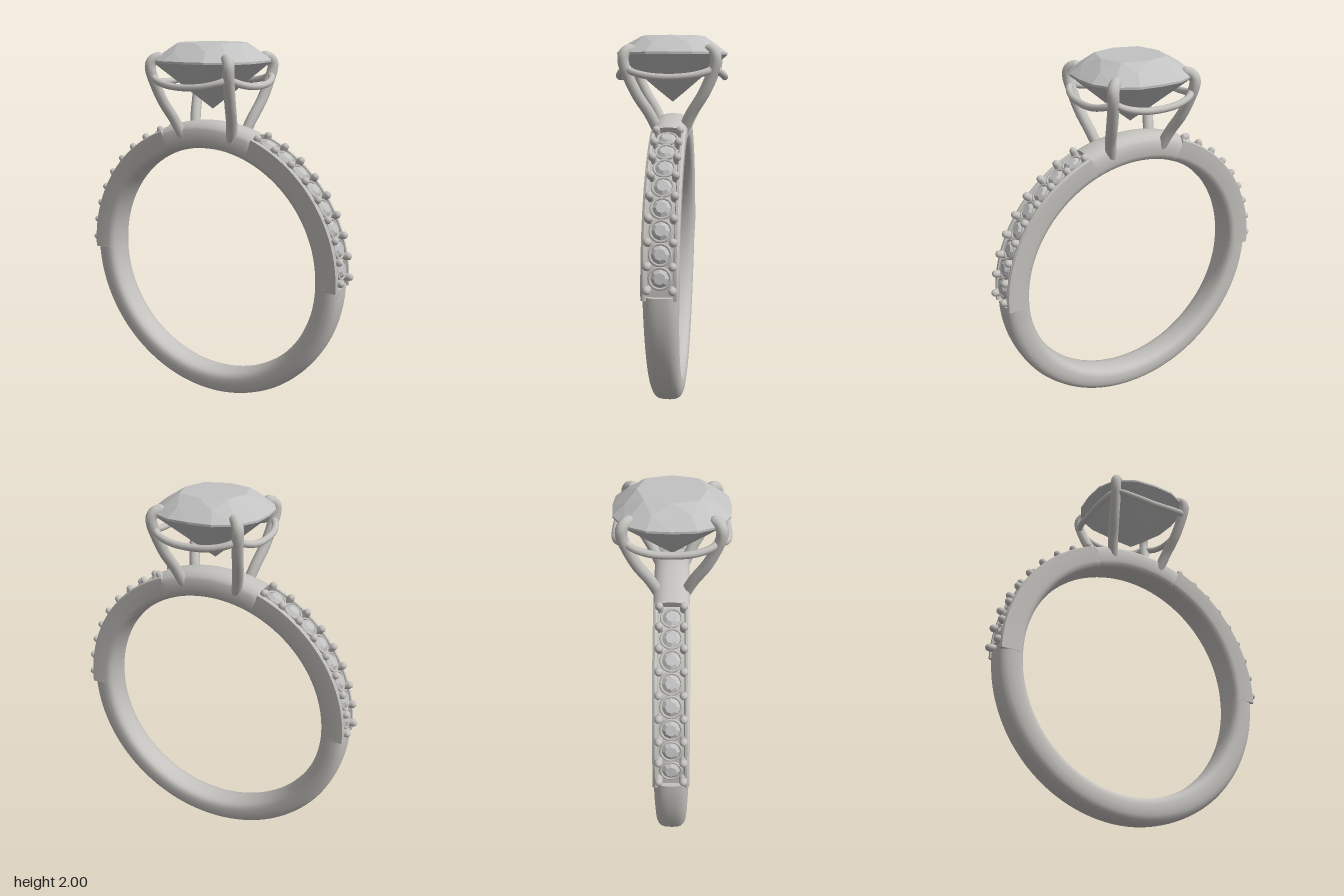
import * as THREE from 'three';
import { toCreasedNormals, mergeGeometries } from 'three/addons/utils/BufferGeometryUtils.js';

const RAD = Math.PI / 180;
const CENTRE_Y = 0.79;

export function createModel() {
  const model = new THREE.Group();
  model.name = 'ring';
  const metal = new THREE.MeshStandardMaterial({ color: 0xc4c2be, side: THREE.DoubleSide });
  metal.name = 'silver metal';
  const crystal = new THREE.MeshStandardMaterial({ color: 0xc2c2c2 });
  crystal.name = 'clear stone';

  const add = (parent, geometry, material, name) => {
    const mesh = new THREE.Mesh(geometry, material);
    mesh.name = name;
    parent.add(mesh);
    return mesh;
  };

  const band = new THREE.Group();
  band.name = 'band';
  band.position.y = CENTRE_Y;
  model.add(band);

  // Half cross-sections as [radius, half width], from outer middle to inner middle
  const closeSection = (half) => [
    ...half.slice().reverse().map(([r, z]) => [r, -z]),
    ...half,
  ].map(([r, z]) => new THREE.Vector2(r, z));
  const inner = [[0.692, 0.088], [0.675, 0.083], [0.662, 0.069], [0.655, 0.045], [0.652, 0.015]];
  const roundSection = closeSection([[0.79, 0.015], [0.788, 0.04], [0.781, 0.06], [0.768, 0.076], [0.748, 0.086], [0.72, 0.09], ...inner]);
  const channelSection = closeSection([[0.766, 0.01], [0.766, 0.062], [0.787, 0.067], [0.789, 0.078], [0.782, 0.09], ...inner]);
  const bridgeSection = closeSection([[0.802, 0.015], [0.799, 0.04], [0.79, 0.062], [0.776, 0.08], [0.76, 0.09], ...inner]);

  // Sweep a section around the finger, angles in degrees from +x, with end caps
  function arc(section, from, to, taper, name) {
    const steps = Math.ceil((to - from) / 2.5);
    const sweep = new THREE.LatheGeometry([...section, section[0]], steps, (from + 90) * RAD, (to - from) * RAD);
    sweep.rotateX(Math.PI / 2);
    if (taper) {
      const p = sweep.attributes.position;
      for (let i = 0; i < p.count; i++) {
        const h = Math.min(1, Math.max(0, 1 + p.getY(i) / 0.79));
        p.setZ(i, p.getZ(i) * (0.89 + 0.09 * h * h));
      }
    }
    const caps = [from, to].map((a) => {
      const cap = new THREE.ShapeGeometry(new THREE.Shape(section)).rotateX(Math.PI / 2);
      return cap.rotateZ(a * RAD).toNonIndexed();
    });
    add(band, mergeGeometries([toCreasedNormals(sweep, 0.65), ...caps]), metal, name);
  }
  arc(roundSection, -180, 0, true, 'lowerBand');
  arc(channelSection, -1, 69, false, 'leftStoneChannel');
  arc(channelSection, 111, 181, false, 'rightStoneChannel');
  arc(bridgeSection, 68.8, 111.2, false, 'topBridge');

  // Small stones, their rims and the beads between them
  const smallStone = new THREE.CylinderGeometry(0.028, 0.048, 0.016, 8).toNonIndexed();
  smallStone.computeVertexNormals();
  const rim = new THREE.TorusGeometry(0.05, 0.007, 6, 20).rotateX(Math.PI / 2);
  const bead = new THREE.CapsuleGeometry(0.02, 0.03, 5, 12);
  const STEP = 8.08;
  for (const side of [1, -1]) {
    const place = (geometry, material, name, degrees, radius, z) => {
      const a = side > 0 ? degrees * RAD : Math.PI - degrees * RAD;
      const mesh = add(band, geometry, material, name);
      mesh.position.set(radius * Math.cos(a), radius * Math.sin(a), z);
      mesh.rotation.z = a - Math.PI / 2;
    };
    for (let i = 0; i < 9; i++) {
      const at = 2.8 + i * STEP;
      for (const z of [-0.06, 0.06]) place(bead, metal, 'bead', at, 0.783, z);
      if (i === 8) continue;
      place(smallStone, crystal, 'smallStone', at + STEP / 2, 0.785, 0);
      place(rim, metal, 'stoneRim', at + STEP / 2, 0.779, 0);
    }
  }

  // Cushion outline point at a given angle, scaled towards the axis
  const cushion = (degrees, scale, y) => {
    const c = Math.cos(degrees * RAD), s = Math.sin(degrees * RAD);
    const r = 0.292 * scale / Math.pow(Math.abs(c) ** 2.7 + Math.abs(s) ** 2.7, 1 / 2.7);
    return new THREE.Vector3(r * c, y, r * s);
  };

  // Large faceted stone, eight-fold
  const corners = [];
  const tri = (a, b, c) => {
    // Orient every facet outward from a point inside the stone
    const n = b.clone().sub(a).cross(c.clone().sub(a));
    const out = a.clone().add(b).add(c).divideScalar(3).sub(new THREE.Vector3(0, 1.89, 0));
    for (const v of n.dot(out) > 0 ? [a, b, c] : [a, c, b]) corners.push(v);
  };
  const tableCentre = new THREE.Vector3(0, 2, 0);
  const culet = new THREE.Vector3(0, 1.655, 0);
  for (let k = 0; k < 8; k++) {
    const a = 45 * k, m = a + 22.5, b = a + 45;
    const table = [cushion(a, 0.58, 2), cushion(b, 0.58, 2)];
    const star = cushion(m, 0.79, 1.962);
    const lower = cushion(m, 0.3, 1.726);
    const top = [a, m, b].map((d) => cushion(d, 1, 1.913));
    const under = [a, m, b].map((d) => cushion(d, 1, 1.902));
    tri(tableCentre, table[0], table[1]);
    tri(table[0], table[1], star);
    tri(table[0], star, top[0]);
    tri(table[1], star, top[2]);
    for (let j = 0; j < 2; j++) {
      tri(star, top[j], top[j + 1]);
      tri(top[j], top[j + 1], under[j]);
      tri(top[j + 1], under[j + 1], under[j]);
      tri(under[j], under[j + 1], lower);
    }
    tri(under[0], lower, culet);
    tri(under[2], lower, culet);
  }
  const gem = new THREE.BufferGeometry().setFromPoints(corners);
  gem.computeVertexNormals();
  add(model, gem, crystal, 'centreStone');

  // Four prongs with rounded tips hooked over the stone
  const setting = new THREE.Group();
  setting.name = 'setting';
  model.add(setting);
  const prongPath = [[0.155, 1.51, 0.065], [0.18, 1.6, 0.108], [0.207, 1.7, 0.17], [0.225, 1.8, 0.215],
    [0.234, 1.86, 0.234], [0.234, 1.895, 0.234], [0.222, 1.917, 0.222], [0.204, 1.925, 0.204]];
  for (const sx of [1, -1]) for (const sz of [1, -1]) {
    const path = prongPath.map(([x, y, z]) => new THREE.Vector3(x * sx, y, z * sz));
    add(setting, new THREE.TubeGeometry(new THREE.CatmullRomCurve3(path), 36, 0.029, 12), metal, 'prong');
    for (const end of [path[0], path[path.length - 1]]) {
      add(setting, new THREE.SphereGeometry(0.029, 12, 8), metal, 'prongTip').position.copy(end);
    }
  }

  // Gallery wires bowing out and dipping between the prongs
  const wirePath = [[-0.225, 1.835, 0.222], [-0.19, 1.815, 0.252], [-0.11, 1.795, 0.275], [0, 1.787, 0.28],
    [0.11, 1.795, 0.275], [0.19, 1.815, 0.252], [0.225, 1.835, 0.222]];
  const wireCurve = new THREE.CatmullRomCurve3(wirePath.map((p) => new THREE.Vector3(...p)));
  const wire = new THREE.TubeGeometry(wireCurve, 36, 0.018, 10);
  for (let i = 0; i < 4; i++) add(setting, wire, metal, 'galleryWire').rotation.y = i * Math.PI / 2;

  return model;
}
